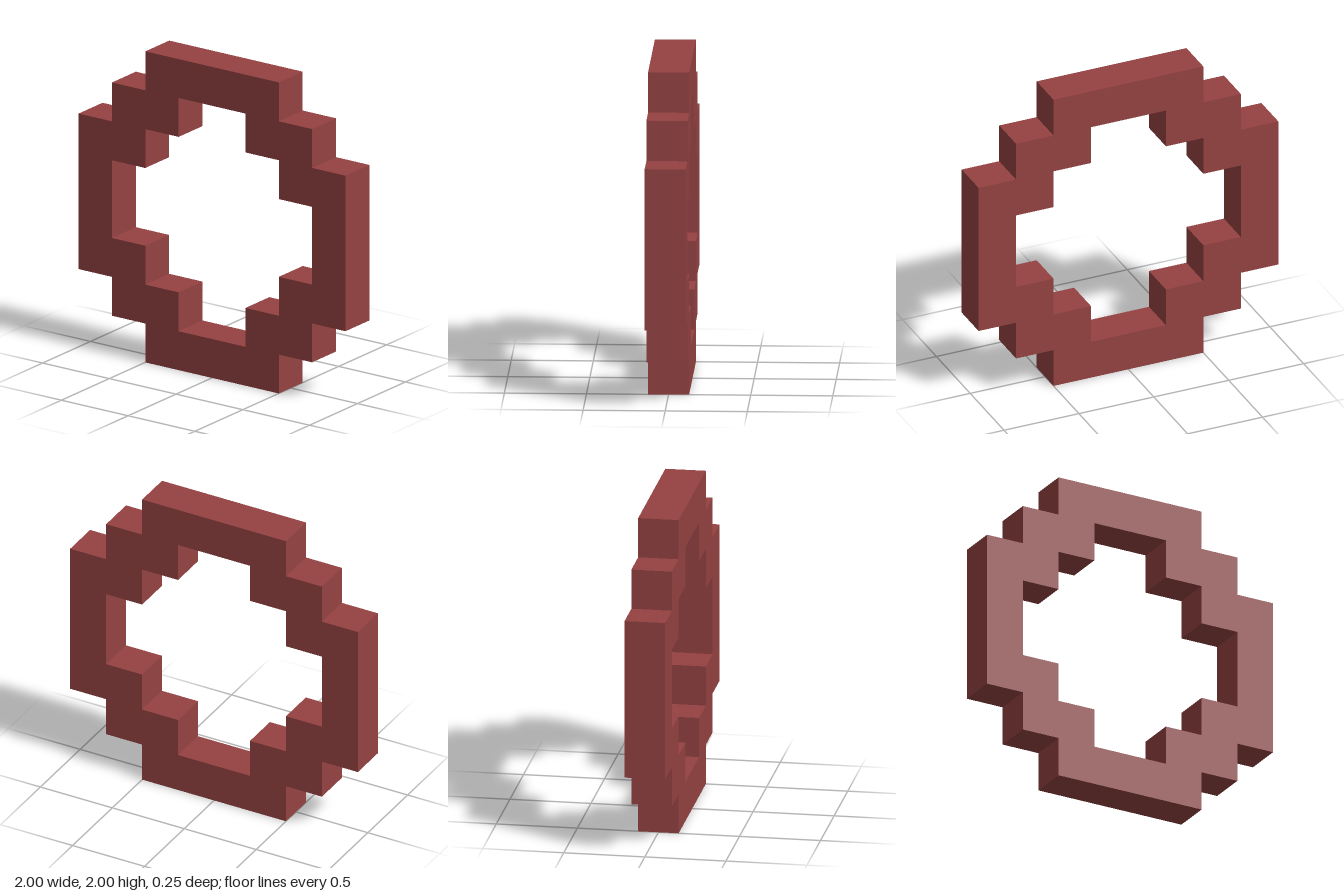
import * as THREE from 'three';

const CELL = 0.25;

// Repeats one stepped corner (in cells) around the centre in four quarter turns
function steppedLoop(corner) {
  const points = [];
  for (let turn = 0; turn < 4; turn++) {
    for (const [cx, cy] of corner) {
      let x = cx * CELL, y = cy * CELL;
      for (let i = 0; i < turn; i++) [x, y] = [-y, x];
      points.push(new THREE.Vector2(x, y));
    }
  }
  return points;
}

export function createModel() {
  const red = new THREE.MeshStandardMaterial({ color: 0x964242 });
  red.name = 'brick red';

  // Stepped ring outline with a stepped opening
  const outline = new THREE.Shape(
    steppedLoop([[4, 2], [3, 2], [3, 3], [2, 3], [2, 4]]));
  outline.holes.push(new THREE.Path(
    steppedLoop([[3, 1], [2, 1], [2, 2], [1, 2], [1, 3]]).reverse()));

  const geometry = new THREE.ExtrudeGeometry(outline, { depth: CELL, bevelEnabled: false });
  geometry.translate(0, 1, -CELL / 2);

  const ring = new THREE.Mesh(geometry, red);
  ring.name = 'steppedRing';

  const model = new THREE.Group();
  model.name = 'blockRing';
  model.add(ring);
  return model;
}
